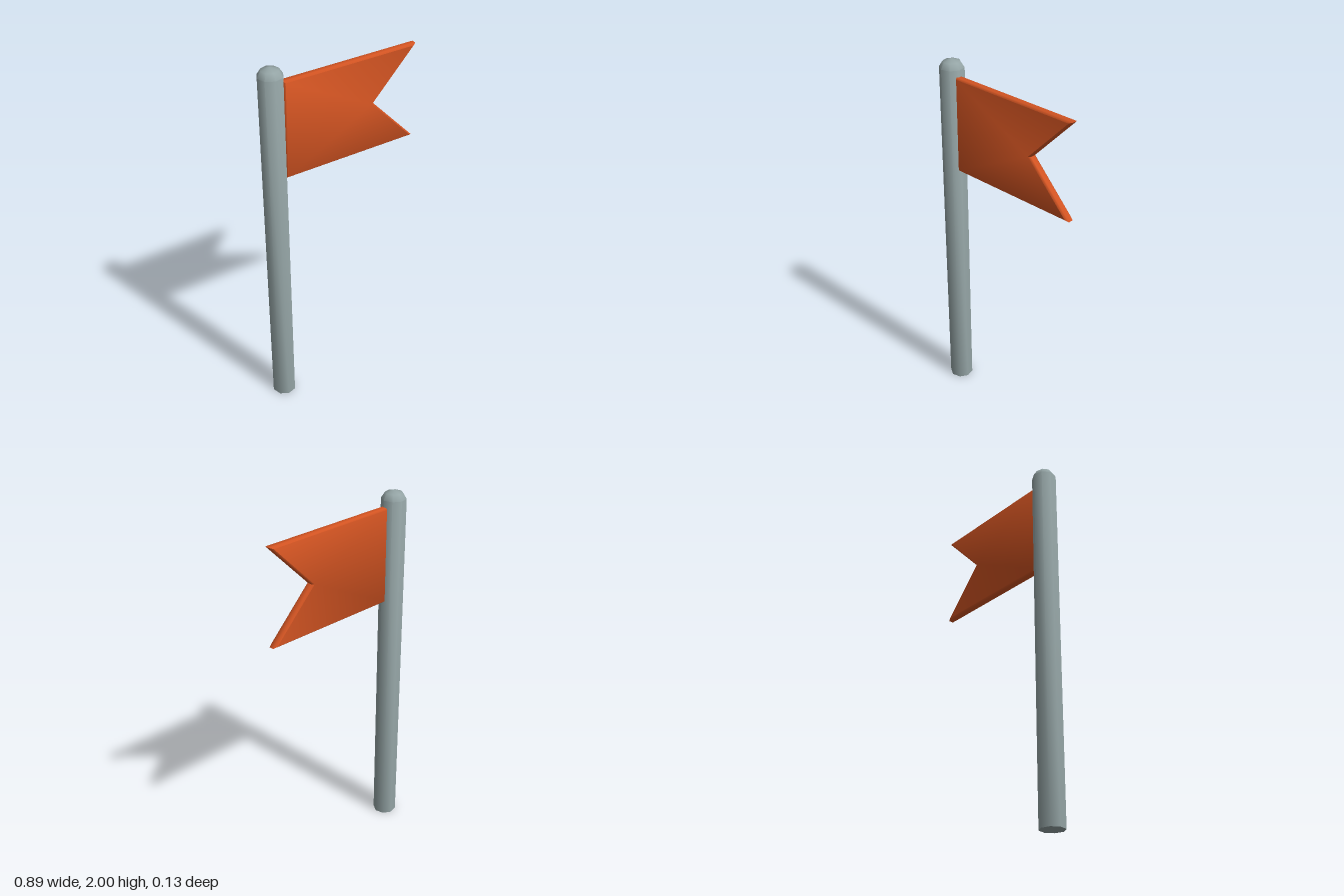
import * as THREE from 'three';
import { toCreasedNormals } from 'three/addons/utils/BufferGeometryUtils.js';

// Swallowtail outline, counter-clockwise, pulled inwards by d
function outline(d) {
  const left = -0.325 + d, low = 1.4 + d, high = 1.92 - d, tip = 0.445 - 2.414 * d;
  return [[left, low], [tip, low], [0.19 - 1.414 * d, 1.66], [tip, high], [left, high]];
}

// Flag: four outline rings through the thickness, with bevelled rims
function flagGeometry() {
  const bevel = 0.008;
  const rings = [[-0.018, bevel], [-0.008, 0], [0.018, 0], [0.028, bevel]];
  const positions = rings.flatMap(([z, d]) => outline(d).flatMap(([x, y]) => [x, y, z]));
  const index = [];
  for (let r = 0; r < 3; r++) {
    for (let i = 0; i < 5; i++) {
      const j = (i + 1) % 5;
      const a = r * 5 + i, b = r * 5 + j;
      index.push(a, b, b + 5, a, b + 5, a + 5);
    }
  }
  // Front and back faces fan out from the notch
  for (const [a, b] of [[0, 1], [4, 0], [3, 4]]) {
    index.push(15 + a, 15 + b, 17);
    index.push(b, a, 2);
  }
  const geometry = new THREE.BufferGeometry();
  geometry.setAttribute('position', new THREE.Float32BufferAttribute(positions, 3));
  geometry.setIndex(index);
  return toCreasedNormals(geometry, 1.0);
}

// Pole: eight-sided lathe with a closed foot and a low dome
function poleGeometry() {
  const profile = [[0, 0], [0.0655, 0], [0.0655, 1.955], [0.046, 1.986], [0, 2]]
    .map(([r, y]) => new THREE.Vector2(r, y));
  const lathe = new THREE.LatheGeometry(profile, 8, THREE.MathUtils.degToRad(37));
  return toCreasedNormals(lathe, 0.9);
}

export function createModel() {
  const grey = new THREE.MeshStandardMaterial({ color: 0x95a5a6 });
  grey.name = 'poleGrey';
  const orange = new THREE.MeshStandardMaterial({ color: 0xd35422 });
  orange.name = 'flagOrange';

  const group = new THREE.Group();
  group.name = 'flagOnPole';

  const pole = new THREE.Mesh(poleGeometry(), grey);
  pole.name = 'pole';
  pole.position.set(-0.38, 0, -0.003);

  const flag = new THREE.Mesh(flagGeometry(), orange);
  flag.name = 'flag';

  group.add(pole, flag);
  return group;
}
